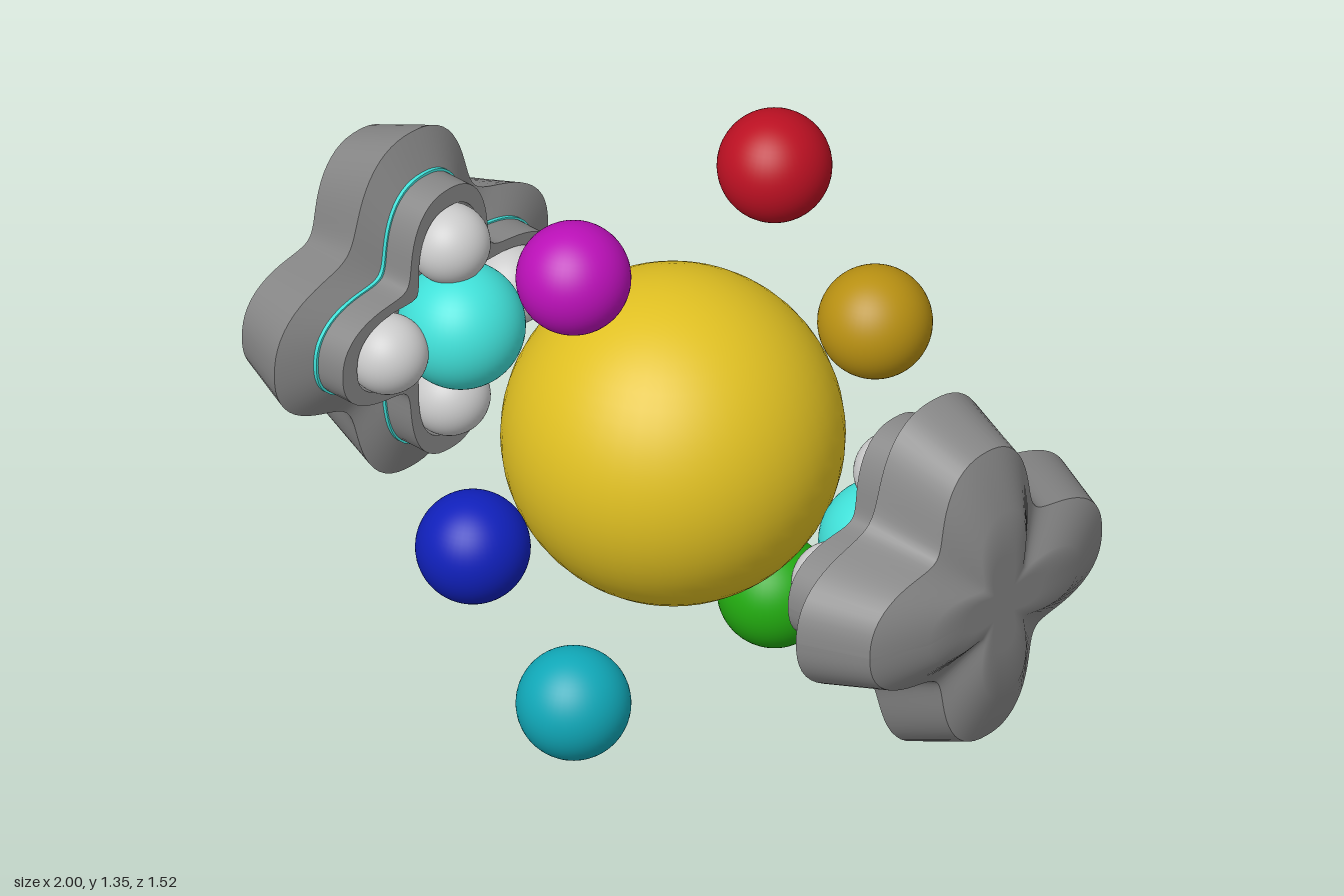
import * as THREE from 'three';
import { mergeGeometries } from 'three/addons/utils/BufferGeometryUtils.js';

const CY = 0.675;          // height of the common centre
const LOBE_DEPTH = 0.145;  // how far the valleys cut in between the lobes

const material = (color) => new THREE.MeshStandardMaterial({ color });

function sphere(name, radius, color, x, y, z) {
  const mesh = new THREE.Mesh(new THREE.SphereGeometry(radius, 48, 32), material(color));
  mesh.name = name;
  mesh.position.set(x, y, z);
  return mesh;
}

// Four-lobed solid along +x. Each band is a smooth run of [tip radius, x];
// the edges between bands stay sharp.
function lobedGeometry(bands) {
  const parts = bands.map((band) => {
    const g = new THREE.LatheGeometry(band.map(([r, x]) => new THREE.Vector2(r, x)), 128);
    const p = g.attributes.position;
    for (let i = 0; i < p.count; i++) {
      const x = p.getX(i), z = p.getZ(i), r = Math.hypot(x, z);
      if (r < 1e-6) continue;
      const s = Math.sin(2 * Math.atan2(z, x)) ** 2;
      const inset = LOBE_DEPTH * Math.pow(s, 1.35) * Math.min(1, r / 0.23);
      p.setX(i, x * (r - inset) / r);
      p.setZ(i, z * (r - inset) / r);
    }
    g.computeVertexNormals();
    return g;
  });
  return mergeGeometries(parts).rotateZ(-Math.PI / 2);
}

function createPod(name) {
  const pod = new THREE.Group();
  pod.name = name;
  const add = (partName, bands, color) => {
    const mesh = new THREE.Mesh(lobedGeometry(bands), material(color));
    mesh.name = partName;
    pod.add(mesh);
  };

  // Outer shell: sloping back face, flared side, bevelled cap
  add('shell', [
    [[0, 0.752], [0.34, 0.752]],
    [[0.34, 0.752], [0.43, 0.785]],
    [[0.43, 0.785], [0.365, 0.945]],
    [[0.365, 0.945], [0.235, 1], [0.12, 1], [0, 1]],
  ], 0x888888);

  // Thin coloured seam between shell and socket
  add('seam', [
    [[0, 0.744], [0.341, 0.744]],
    [[0.341, 0.744], [0.341, 0.754]],
  ], 0x40e0d8);

  // Socket: raised rim around a shallow recess
  add('socket', [
    [[0, 0.725], [0.29, 0.725]],
    [[0.29, 0.725], [0.29, 0.67]],
    [[0.29, 0.67], [0.335, 0.67]],
    [[0.335, 0.67], [0.335, 0.746]],
  ], 0x888888);

  // Core ball and the four balls around it
  pod.add(sphere('coreBall', 0.142, 0x40e0d8, 0.636, 0, 0));
  for (let i = 0; i < 4; i++) {
    const a = i * Math.PI / 2;
    pod.add(sphere('socketBall', 0.09, 0xcccccc, 0.67, 0.195 * Math.sin(a), 0.195 * Math.cos(a)));
  }
  pod.position.y = CY;
  return pod;
}

export function createModel() {
  const model = new THREE.Group();
  model.name = 'model';

  model.add(sphere('centralSphere', 0.376, 0xe0c022, 0.003, CY, 0));

  // Ring of six small spheres, starting at the front and going up over the top
  const colors = [0x1020bb, 0xbb10b8, 0xbb1022, 0xb89012, 0x22aa10, 0x10a8b8];
  colors.forEach((color, i) => {
    const a = i * Math.PI / 3;
    model.add(sphere('orbitSphere', 0.126, color, 0.006, CY + 0.632 * Math.sin(a), 0.632 * Math.cos(a)));
  });

  // Facing pods on both sides
  const right = createPod('rightPod');
  right.rotation.y = Math.PI;
  model.add(createPod('leftPod'), right);
  return model;
}
